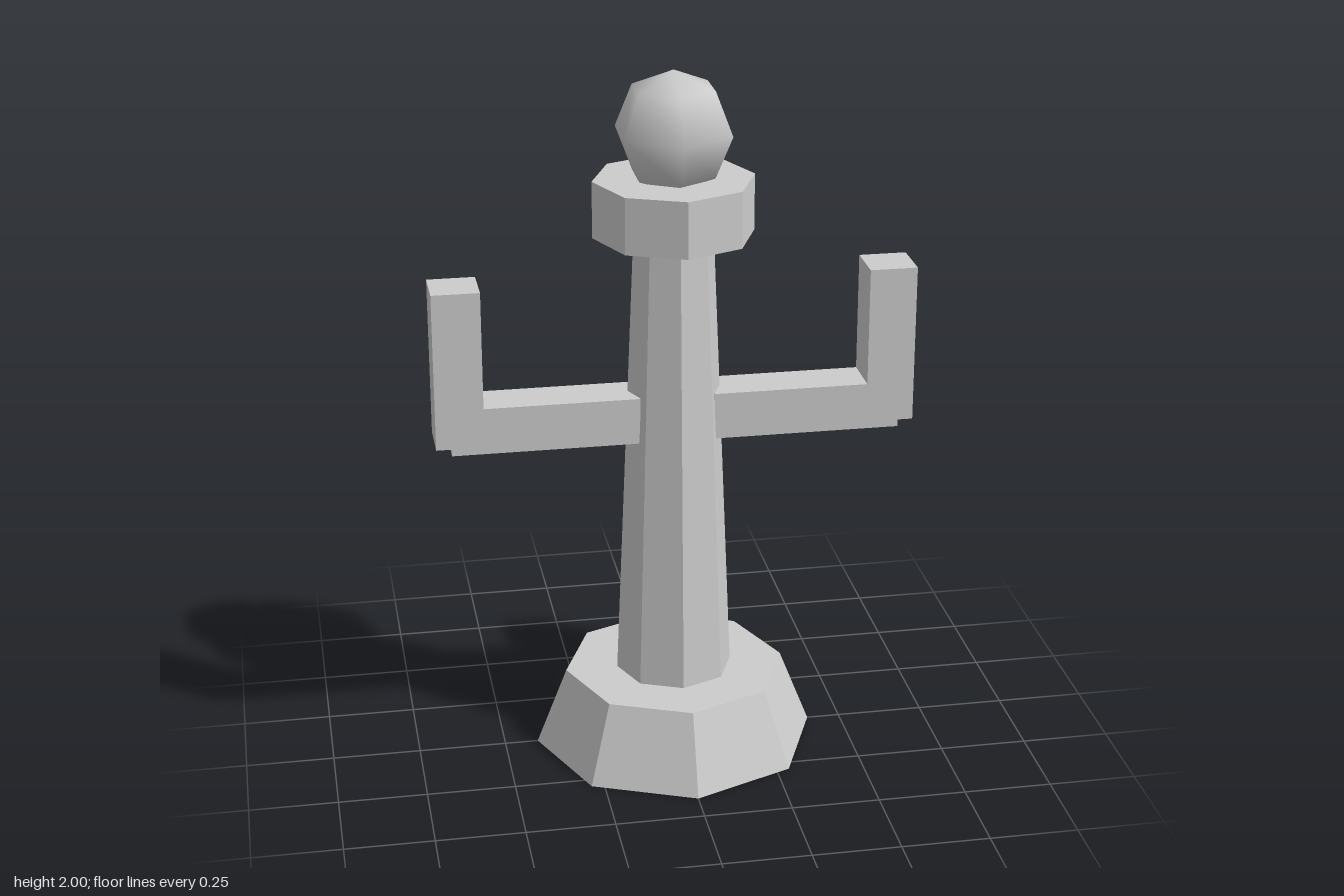
import * as THREE from 'three';

export function createModel() {
  const model = new THREE.Group();
  const stone = new THREE.MeshStandardMaterial({ color: 0xcccccc, flatShading: true });
  stone.name = 'stone';
  const smoothStone = new THREE.MeshStandardMaterial({ color: 0xcccccc });
  smoothStone.name = 'smoothStone';

  const add = (name, geometry, x, y, material = stone, parent = model) => {
    const mesh = new THREE.Mesh(geometry, material);
    mesh.name = name;
    mesh.position.set(x, y, 0);
    parent.add(mesh);
    return mesh;
  };

  // Eight-sided tapered section between two heights
  const octagon = (name, bottomRadius, topRadius, y0, y1) =>
    add(name, new THREE.CylinderGeometry(topRadius, bottomRadius, y1 - y0, 8), 0, (y0 + y1) / 2);

  octagon('base', 0.405, 0.317, 0, 0.225);
  octagon('column', 0.167, 0.112, 0.225, 1.54);
  octagon('collar', 0.225, 0.225, 1.54, 1.7);

  // Six-sided ball with a corner facing front
  add('ball', new THREE.SphereGeometry(0.17, 6, 4).rotateY(Math.PI / 2), 0, 1.83, smoothStone);

  // Box spanning the given x and y ranges
  const bar = (name, x0, x1, y0, y1, side, parent) =>
    add(name, new THREE.BoxGeometry(x1 - x0, y1 - y0, 0.134), side * (x0 + x1) / 2, (y0 + y1) / 2, stone, parent);

  // Mirrored arms, each with an upright whose foot overhangs the beam
  for (const [side, label] of [[1, 'left'], [-1, 'right']]) {
    const arm = new THREE.Group();
    arm.name = label + 'Arm';
    bar(label + 'Beam', 0.105, 0.632, 0.953, 1.087, side, arm);
    bar(label + 'Upright', 0.541, 0.675, 0.973, 1.425, side, arm);
    model.add(arm);
  }

  return model;
}
